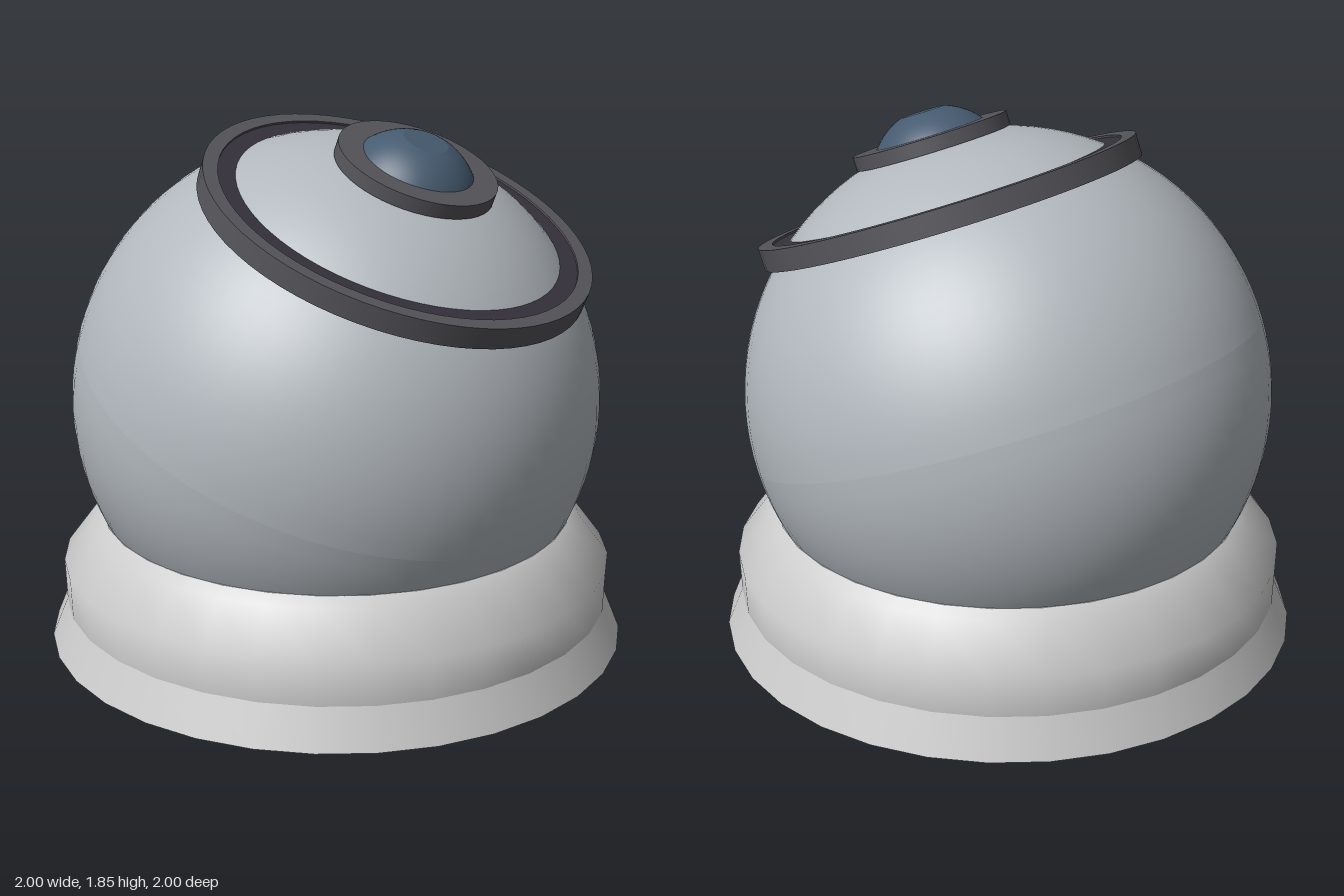
import * as THREE from 'three';

const mat = (color) => new THREE.MeshStandardMaterial({ color });

// Revolve a list of [radius, height] points around y
function lathe(name, points, material, sides) {
  const profile = points.map(([r, y]) => new THREE.Vector2(r, y));
  const mesh = new THREE.Mesh(new THREE.LatheGeometry(profile, sides), material);
  mesh.name = name;
  return mesh;
}

// Revolve each straight run on its own, so the edges between runs stay sharp
function sharpLathe(name, points, material, sides) {
  const group = new THREE.Group();
  group.name = name;
  for (let i = 0; i < points.length - 1; i++) {
    group.add(lathe(name + 'Face' + (i + 1), [points[i], points[i + 1]], material, sides));
  }
  return group;
}

// Points on a circle of radius r centred on the axis, between two latitudes
function arc(r, from, to, steps, centre = 0) {
  return Array.from({ length: steps + 1 }, (_, i) => {
    const a = from + ((to - from) * i) / steps;
    return [Math.max(0, r * Math.cos(a)), centre + r * Math.sin(a)];
  });
}

export function createModel() {
  const model = new THREE.Group();
  model.name = 'ballCamera';

  const baseGrey = mat(0xcccccc);
  const shell = mat(0xb2b8be);
  const trim = mat(0x55555a);
  const dark = mat(0x35323c);
  const glass = mat(0x465b70);

  // Base: closed underside, flared foot and rounded collar
  const base = new THREE.Group();
  base.name = 'base';
  base.add(
    sharpLathe('foot', [[0, 0.055], [1, 0.055], [0.945, 0.19]], baseGrey, 32),
    lathe('collar', [[0.945, 0.19], [0.95, 0.335], [0.845, 0.475], [0.81, 0.505]], baseGrey, 32),
    lathe('collarTop', [[0.81, 0.505], [0.76, 0.505]], baseGrey, 32),
  );
  model.add(base);

  // Ball head, tilted forward; its parts are stacked along the tilted axis
  const head = new THREE.Group();
  head.name = 'head';
  head.position.y = 0.904;
  head.rotation.x = THREE.MathUtils.degToRad(21.5);
  model.add(head);

  const R = 0.9;
  const low = Math.asin(-0.871 / R);
  head.add(
    lathe('lowerShell', arc(R, low, 0, 20), shell, 64),
    lathe('upperShell', arc(R, 0, Math.PI / 2, 24), shell, 64),
    lathe('shellBottom', [[0, -0.871], [R * Math.cos(low), -0.871]], shell, 64),
  );

  // Large ring with a dark inlay
  head.add(
    sharpLathe('outerRing', [[0.6, 0.641], [0.665, 0.641], [0.665, 0.716], [0.615, 0.716], [0.615, 0.64]], trim, 64),
    lathe('ringInlay', [[0.615, 0.709], [0.52, 0.709]], dark, 64),
  );

  // Lens ring and domed lens with a small flat centre
  head.add(
    sharpLathe('lensRing', [[0.2, 0.862], [0.27, 0.862], [0.27, 0.911], [0.17, 0.911]], trim, 48),
  );
  const r = 0.24;
  const centre = 0.76;
  const top = Math.acos(0.075 / r);
  head.add(
    lathe('lens', arc(r, Math.asin(0.14 / r), top, 10, centre), glass, 48),
    lathe('lensCentre', [[0.075, centre + r * Math.sin(top)], [0, centre + r * Math.sin(top)]], glass, 48),
  );

  return model;
}
